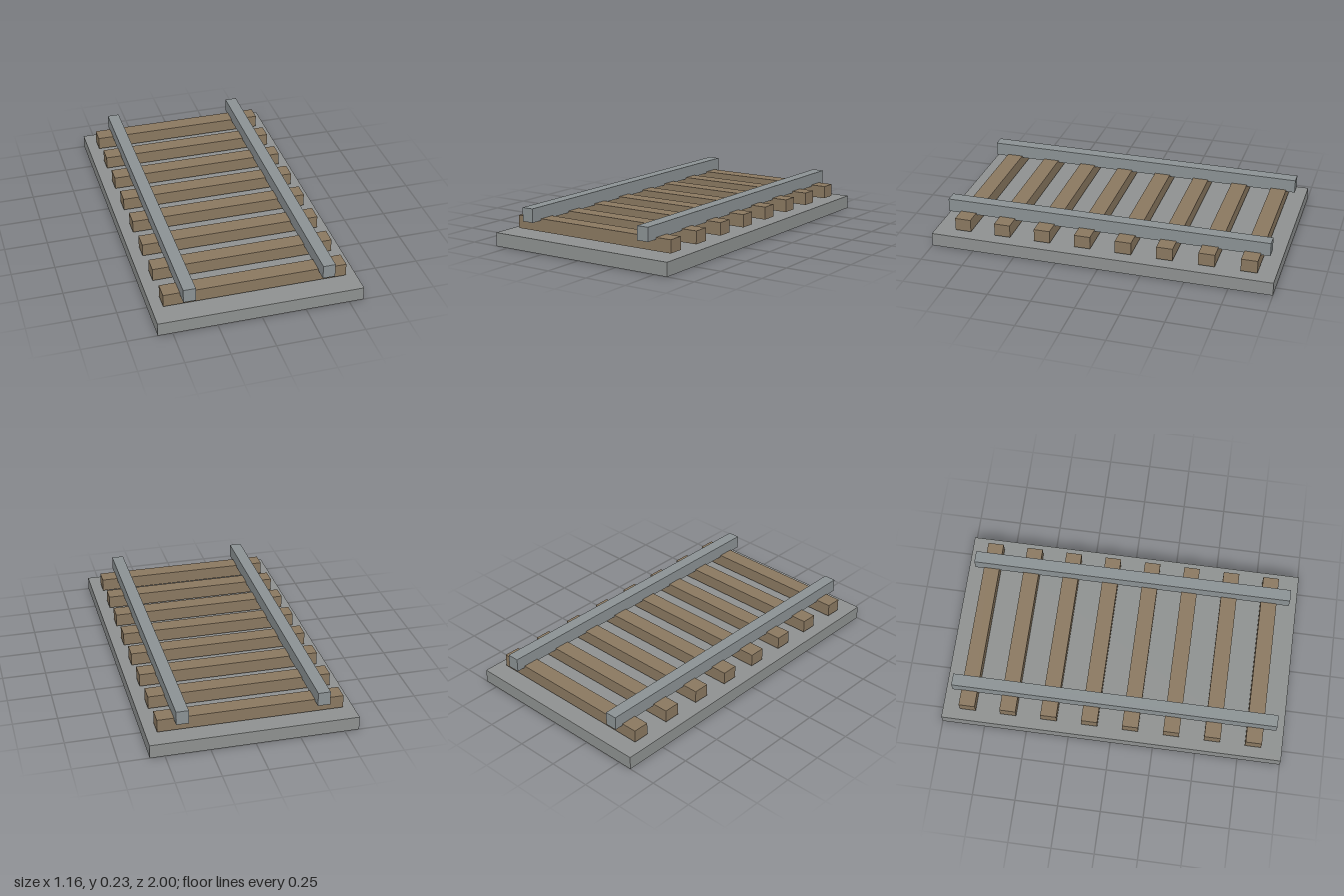
import * as THREE from 'three';

export function createModel() {
  const model = new THREE.Group();
  model.name = 'railwayTrack';

  const material = (name, color) => {
    const m = new THREE.MeshStandardMaterial({ color });
    m.name = name;
    return m;
  };
  const stone = material('stone grey', 0x8e9190);
  const steel = material('steel grey', 0x8b9294);
  const wood = material('wood brown', 0x8a7860);

  // Box placed by its centre in x and z, and by its bottom and top in y
  const addBox = (name, mat, width, bottom, top, depth, x, z) => {
    const mesh = new THREE.Mesh(new THREE.BoxGeometry(width, top - bottom, depth), mat);
    mesh.name = name;
    mesh.position.set(x, (bottom + top) / 2, z);
    model.add(mesh);
  };

  // Flat bed
  addBox('trackBed', stone, 1.165, 0, 0.078, 2, 0, 0);

  // Evenly spaced cross ties, floating just above the bed
  for (let i = 0; i < 8; i++) {
    addBox(`tie${i + 1}`, wood, 1.04, 0.089, 0.163, 0.094, 0, -0.851 + i * 0.24);
  }

  // Pair of rails sunk slightly into the ties
  for (const side of [-1, 1]) {
    addBox(side > 0 ? 'leftRail' : 'rightRail', steel, 0.07, 0.153, 0.232, 1.9, side * 0.392, 0);
  }

  return model;
}
